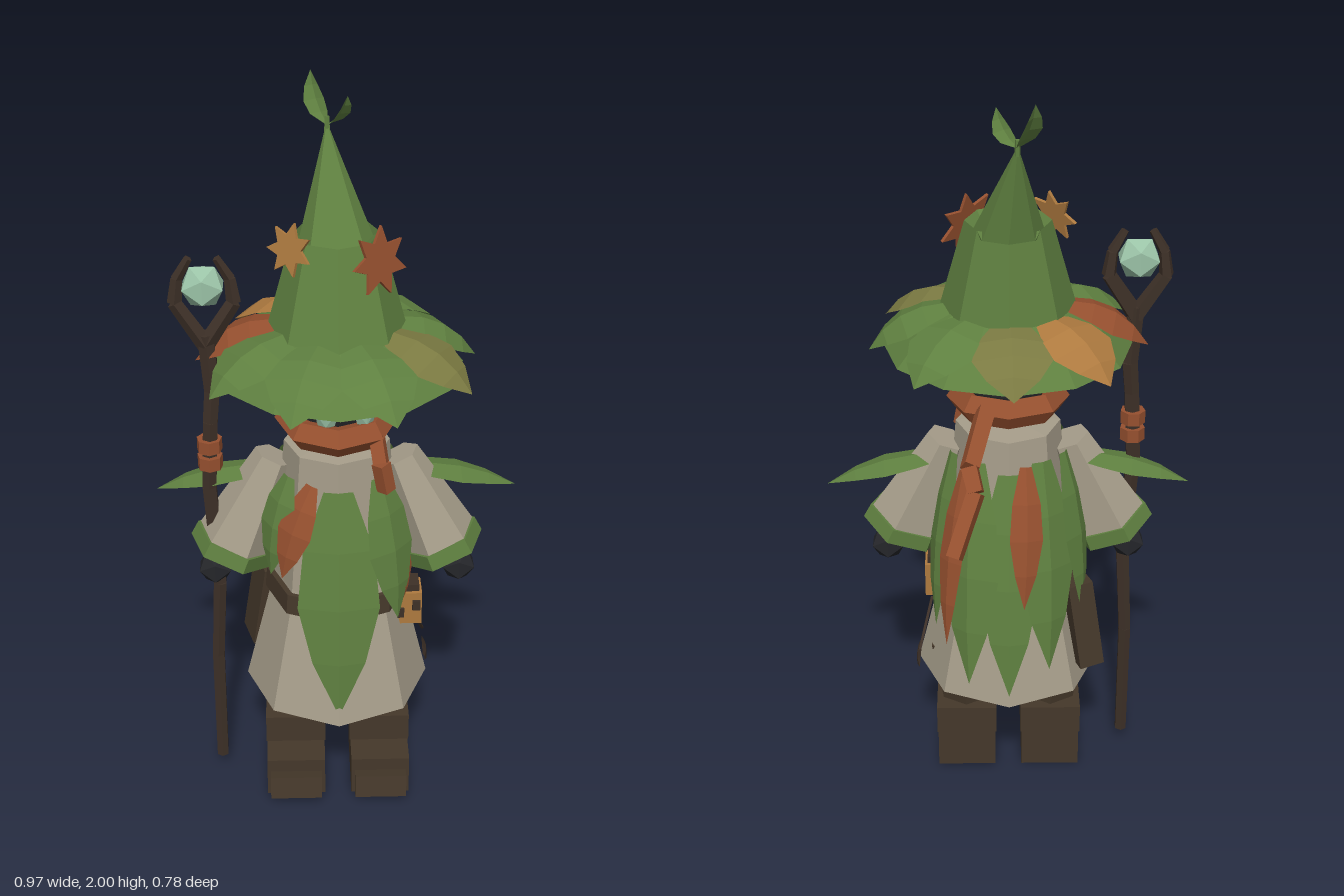
import * as THREE from 'three';

const mat = (name, color) => {
  const m = new THREE.MeshStandardMaterial({ color, flatShading: true, side: THREE.DoubleSide });
  m.name = name;
  return m;
};
const V = (x, y, z) => new THREE.Vector3(x, y, z);

export function createModel() {
  const M = {
    leaf: mat('leafGreen', 0x5f8040),
    olive: mat('oliveLeaf', 0x7b7a42),
    red: mat('rustRed', 0x96502f),
    orange: mat('autumnOrange', 0xae7a3f),
    cloth: mat('robeCloth', 0xa69d8a),
    boot: mat('bootBrown', 0x45382a),
    wood: mat('darkWood', 0x3d3027),
    black: mat('shadowBlack', 0x25262a),
    gem: mat('paleGem', 0x9cc4a8),
  };
  const root = new THREE.Group();
  root.name = 'leafWizard';

  const add = (name, geo, m, x = 0, y = 0, z = 0) => {
    const flat = geo.index ? geo.toNonIndexed() : geo;
    flat.computeVertexNormals();
    const mesh = new THREE.Mesh(flat, m);
    mesh.name = name;
    mesh.position.set(x, y, z);
    root.add(mesh);
    return mesh;
  };
  const box = (name, m, w, h, d, x, y, z) => add(name, new THREE.BoxGeometry(w, h, d), m, x, y, z);

  // Tapered limb from point a to point b
  const limb = (name, m, a, b, ra, rb, sides = 6, open = false) => {
    const d = b.clone().sub(a);
    const mesh = add(name, new THREE.CylinderGeometry(rb, ra, d.length(), sides, 1, open), m);
    mesh.position.copy(a).addScaledVector(d, 0.5);
    mesh.quaternion.setFromUnitVectors(V(0, 1, 0), d.normalize());
    return mesh;
  };
  const chain = (name, m, pts, r0, r1, sides = 6) => {
    for (let i = 0; i < pts.length - 1; i++) {
      const n = pts.length - 1;
      const r = (k) => r0 + ((r1 - r0) * k) / n;
      limb(name, m, pts[i], pts[i + 1], r(i), r(i + 1), sides);
    }
  };

  // Skin over stacked rings [x, y, z, radius], listed bottom to top
  const loft = (name, m, rings, sides = 8) => {
    const pos = [], idx = [];
    for (const [x, y, z, r] of rings)
      for (let i = 0; i < sides; i++) {
        const a = (i / sides) * Math.PI * 2;
        pos.push(x + Math.sin(a) * r, y, z + Math.cos(a) * r);
      }
    for (let k = 0; k < rings.length - 1; k++)
      for (let i = 0; i < sides; i++) {
        const a = k * sides + i, b = k * sides + ((i + 1) % sides);
        idx.push(a, b, b + sides, a, b + sides, a + sides);
      }
    const g = new THREE.BufferGeometry();
    g.setAttribute('position', new THREE.Float32BufferAttribute(pos, 3));
    g.setIndex(idx);
    return add(name, g, m);
  };

  // Folded leaf from base to tip, bowed along its normal
  const leaf = (name, m, base, tip, width, normal, bow = 0.02, blunt = 0.35) => {
    const dir = tip.clone().sub(base).normalize();
    const side = dir.clone().cross(normal).normalize();
    const up = side.clone().cross(dir).normalize();
    const steps = [[0, blunt], [0.25, 0.85], [0.5, 1], [0.75, 0.65], [1, 0]];
    const pos = [], idx = [];
    steps.forEach(([t, w], k) => {
      for (const s of [-1, 0, 1]) {
        const p = base.clone().lerp(tip, t)
          .addScaledVector(up, bow * 4 * t * (1 - t) - Math.abs(s) * w * width * 0.12)
          .addScaledVector(side, (s * w * width) / 2);
        pos.push(p.x, p.y, p.z);
      }
      if (k < steps.length - 1)
        for (const s of [0, 1]) {
          const a = k * 3 + s;
          idx.push(a, a + 1, a + 4, a, a + 4, a + 3);
        }
    });
    const g = new THREE.BufferGeometry();
    g.setAttribute('position', new THREE.Float32BufferAttribute(pos, 3));
    g.setIndex(idx);
    return add(name, g, m);
  };

  // Robe and belt
  loft('robe', M.cloth, [[0, 0.32, 0.02, 0.255], [0, 0.62, 0.015, 0.182], [0, 0.68, 0.015, 0.175],
    [0, 1.08, 0.02, 0.14], [0, 1.09, 0.02, 0.01]]);
  loft('belt', M.boot, [[0, 0.61, 0.01, 0.18], [0, 0.612, 0.01, 0.198], [0, 0.67, 0.01, 0.193], [0, 0.672, 0.01, 0.17]]);

  // Arms, legs and boots, mirrored
  for (const s of [-1, 1]) {
    const shoulder = V(s * 0.165, 1.03, 0.015), wrist = V(s * 0.275, 0.785, 0.033);
    limb('sleeve', M.cloth, shoulder, wrist, 0.055, 0.105, 6);
    limb('cuff', M.leaf, wrist, V(s * 0.292, 0.745, 0.036), 0.111, 0.115, 6);
    add('hand', new THREE.IcosahedronGeometry(0.05, 0), M.black, s * 0.333, 0.693, 0.035);
    leaf('shoulderLeaf', M.leaf, V(s * 0.17, 0.99, 0), V(s * 0.487, 0.91, -0.02), 0.13, V(0, 1, 0), 0.025);
    limb('trouserLeg', M.boot, V(s * 0.12, 0.2, 0.005), V(s * 0.13, 0.4, 0.005), 0.075, 0.1);
    box('bootFoot', M.boot, 0.165, 0.12, 0.255, s * 0.12, 0.06, 0.05);
    box('bootShaft', M.boot, 0.17, 0.085, 0.18, s * 0.12, 0.165, 0.003);
    box('bootToe', M.boot, 0.145, 0.065, 0.06, s * 0.12, 0.05, 0.192).rotation.x = -0.2;
  }

  // Leaf mantle: material, base, tip, width
  const mantle = [
    ['leaf', [0, 1.0, 0.17], [0, 0.345, 0.262], 0.22],
    ['leaf', [-0.13, 1.03, 0.13], [-0.18, 0.74, 0.15], 0.12],
    ['red', [-0.07, 1.02, 0.165], [-0.15, 0.76, 0.2], 0.1],
    ['leaf', [0.11, 1.03, 0.14], [0.16, 0.62, 0.19], 0.15],
    ['red', [0.17, 0.86, 0.1], [0.165, 0.64, 0.17], 0.05],
    ['leaf', [0, 0.99, -0.13], [0, 0.36, -0.24], 0.16],
    ['leaf', [0.09, 1.02, -0.11], [0.11, 0.39, -0.22], 0.17],
    ['leaf', [-0.09, 1.02, -0.11], [-0.11, 0.43, -0.21], 0.17],
    ['leaf', [0.15, 1.02, -0.05], [0.2, 0.52, -0.12], 0.13],
    ['leaf', [-0.15, 1.02, -0.05], [-0.2, 0.56, -0.12], 0.13],
    ['red', [0.12, 1.0, -0.12], [0.17, 0.5, -0.19], 0.08],
    ['red', [-0.045, 1.02, -0.14], [-0.04, 0.64, -0.235], 0.09],
  ];
  for (const [c, b, t, w] of mantle)
    leaf('mantleLeaf', M[c], V(...b), V(...t), w, V(b[0] + t[0], 0.1, b[2] + t[2]), 0.025);

  // Head and eyes
  loft('head', M.black, [[0, 1.1, 0.015, 0.09], [0, 1.2, 0.015, 0.118], [0, 1.36, 0.015, 0.12], [0, 1.38, 0.015, 0.01]]);
  for (const x of [-0.03, 0.07]) {
    const eye = add('eye', new THREE.OctahedronGeometry(0.05, 1), M.gem, x, 1.215, x < 0 ? 0.13 : 0.118);
    eye.scale.set(0.62, 1, 0.4);
    eye.rotation.y = x * 4;
  }

  // Scarf with one long and one short tail
  const scarf = add('scarf', new THREE.TorusGeometry(0.122, 0.042, 5, 8).rotateX(Math.PI / 2), M.red, 0, 1.15, 0.025);
  scarf.rotation.x = 0.06;
  chain('scarfTail', M.red, [V(0.06, 1.165, -0.1), V(0.1, 1.08, -0.25), V(0.085, 1.03, -0.29), V(0.14, 0.89, -0.375)], 0.03, 0.025, 4);
  chain('scarfEnd', M.red, [V(0.1, 1.14, 0.12), V(0.11, 1.08, 0.155), V(0.125, 1.0, 0.155)], 0.025, 0.025, 4);

  // Hat crown with a folded step, and brim
  loft('hatCrown', M.leaf, [[0, 1.4, 0.02, 0.18], [0, 1.65, -0.005, 0.11], [0, 1.63, -0.035, 0.092], [-0.02, 1.875, -0.15, 0.004]]);
  loft('hatBrim', M.leaf, [[0, 1.305, 0.02, 0.325], [0, 1.375, 0.02, 0.26], [0, 1.42, 0.02, 0.155]], 12);
  const brimLeaves = [
    ['leaf', -0.12, 0.38], ['leaf', 0.135, 0.38], ['leaf', -0.32, 0.22], ['olive', 0.33, 0.21],
    ['leaf', 0.36, -0.02], ['leaf', 0.235, -0.26], ['olive', -0.01, -0.34], ['orange', -0.25, -0.25], ['red', -0.365, 0.0],
  ];
  for (const [c, x, z] of brimLeaves) {
    const d = V(x, 0, z - 0.02).normalize();
    leaf('brimLeaf', M[c], V(d.x * 0.16, 1.425, 0.02 + d.z * 0.16), V(x, 1.305, z), 0.2, V(d.x, 1.5, d.z), 0.034, 0.5);
  }

  // Sprout on the hat tip
  const tip = V(-0.02, 1.88, -0.15);
  limb('sproutStem', M.leaf, V(-0.02, 1.86, -0.148), V(-0.02, 1.9, -0.152), 0.008, 0.006, 5);
  leaf('sproutLeaf', M.leaf, tip, V(-0.06, 2.0, -0.21), 0.07, V(0.6, 0.5, 0.6), -0.012, 0.1);
  leaf('sproutLeaf', M.leaf, tip, V(0.03, 1.965, -0.105), 0.065, V(-0.6, 0.6, -0.5), -0.012, 0.1);

  // Star-shaped autumn leaves pinned to the hat
  const star = (name, m, r, p, n, spin) => {
    const shape = new THREE.Shape();
    for (let i = 0; i < 14; i++) {
      const a = (i / 14) * Math.PI * 2 + spin, q = i % 2 ? r * 0.55 : r;
      shape[i ? 'lineTo' : 'moveTo'](Math.sin(a) * q, Math.cos(a) * q);
    }
    const mesh = add(name, new THREE.ExtrudeGeometry(shape, { depth: 0.009, bevelEnabled: false }), m, ...p);
    mesh.lookAt(p[0] + n[0], p[1] + n[1], p[2] + n[2]);
  };
  star('redHatLeaf', M.red, 0.088, [0.1, 1.61, 0.085], [0.64, 0.2, 0.75], 0.2);
  star('orangeHatLeaf', M.orange, 0.068, [-0.115, 1.635, 0.065], [-0.6, 0.2, 0.75], 0.1);

  // Staff with bindings, forked head and gem
  chain('staff', M.wood, [V(-0.335, 0.04, 0.04), V(-0.335, 0.4, 0.036), V(-0.322, 0.65, 0.045), V(-0.34, 0.95, 0.036),
    V(-0.33, 1.15, 0.042), V(-0.322, 1.24, 0.04), V(-0.333, 1.4, 0.04)], 0.018, 0.024);
  for (const y of [1.03, 1.08]) add('staffBinding', new THREE.CylinderGeometry(0.034, 0.034, 0.036, 7), M.red, -0.335, y, 0.04);
  for (const s of [-1, 1])
    chain('staffProng', M.wood, [V(-0.333, 1.37, 0.04), V(-0.333 + s * 0.074, 1.485, 0.036),
      V(-0.333 + s * 0.066, 1.55, 0.036), V(-0.333 + s * 0.035, 1.605, 0.04)], 0.024, 0.011, 5);
  add('staffGem', new THREE.IcosahedronGeometry(0.06, 0), M.gem, -0.335, 1.53, 0.04);

  // Belt lantern, hanging twig and pouch
  box('lantern', M.orange, 0.075, 0.1, 0.08, 0.195, 0.58, 0.05);
  box('lanternCap', M.wood, 0.06, 0.02, 0.06, 0.195, 0.64, 0.05);
  for (const s of [-1, 1]) box('lanternMark', M.wood, 0.022, 0.03, 0.008, 0.195 + s * 0.022, 0.58 + s * 0.012, 0.092);
  chain('twig', M.wood, [V(0.215, 0.52, 0.02), V(0.25, 0.4, -0.07)], 0.005, 0.005, 4);
  leaf('dryLeaf', M.wood, V(0.25, 0.37, 0.03), V(0.25, 0.355, -0.09), 0.055, V(1, 0.3, 0), 0.01, 0.4);
  const pouch = box('pouch', M.boot, 0.07, 0.26, 0.1, -0.2, 0.51, -0.08);
  pouch.rotation.set(0.1, 0.3, -0.15);
  return root;
}
